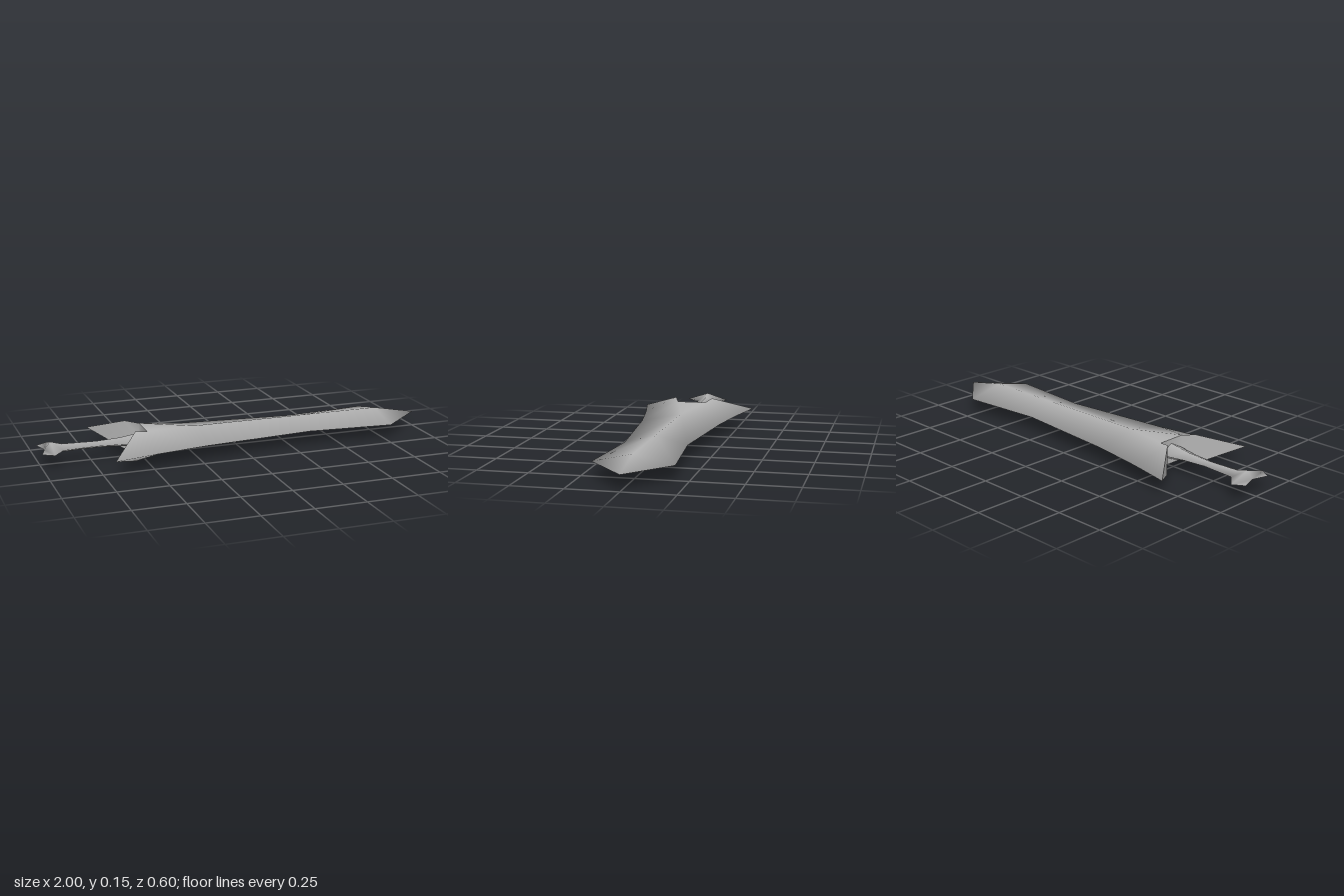
import * as THREE from 'three';
import { mergeVertices } from 'three/addons/utils/BufferGeometryUtils.js';

const MID_Y = 0.075;

// Triangles between a centre ridge and a side edge, station by station
function strip(centre, edge) {
  const tris = [];
  for (let i = 0; i + 1 < centre.length; i++) {
    tris.push([centre[i], edge[i], centre[i + 1]], [edge[i], edge[i + 1], centre[i + 1]]);
  }
  return tris;
}

// Mirrors one quarter of a surface in y and z; faces are turned towards "out"
function mirrored(tris, out) {
  const pos = [];
  const tri = new THREE.Triangle();
  const n = new THREE.Vector3();
  for (const sy of [1, -1]) {
    for (const sz of [1, -1]) {
      const dir = new THREE.Vector3(out[0], out[1] * sy, out[2] * sz);
      for (const t of tris) {
        const p = t.map(([x, y, z]) => new THREE.Vector3(x, y * sy, z * sz));
        tri.set(...p).getNormal(n);
        if (n.lengthSq() < 0.5) continue;
        if (n.dot(dir) < 0) p.reverse();
        p.forEach((v) => pos.push(v.x, v.y, v.z));
      }
    }
  }
  let geo = new THREE.BufferGeometry();
  geo.setAttribute('position', new THREE.Float32BufferAttribute(pos, 3));
  geo = mergeVertices(geo, 1e-4);
  geo.computeVertexNormals();
  return geo;
}

export function createModel() {
  const group = new THREE.Group();
  const steel = new THREE.MeshStandardMaterial({ color: 0xb4b4b4 });
  steel.name = 'steel grey';
  const add = (name, geo) => {
    const mesh = new THREE.Mesh(geo, steel);
    mesh.name = name;
    mesh.position.y = MID_Y;
    group.add(mesh);
  };

  // Blade: diamond section, stations [x, half thickness, half width]
  const stations = [[1, 0, 0], [0.775, 0.043, 0.192], [0.34, 0.043, 0.155], [-0.22, 0.043, 0.21]];
  const blade = strip(
    stations.map(([x, h]) => [x, h, 0]),
    stations.map(([x, , w]) => [x, 0, w]),
  );

  // Swept-back guard wings growing out of the blade
  const ridge = [-0.22, 0.043, 0];
  const side = [-0.22, 0, 0.21];
  const root = [-0.485, 0.062, 0];
  const inner = [-0.485, 0.062, 0.075];
  const peak = [-0.55, 0.075, 0.1];
  const flank = [-0.485, 0, 0.255];
  const tip = [-0.7, 0, 0.302];
  blade.push(
    [ridge, root, inner], [ridge, inner, side], [inner, flank, side],
    [inner, peak, flank], [peak, tip, flank],
  );
  add('bladeAndGuard', mirrored(blade, [0, 1, 0]));

  // Rear faces of the guard
  const flat = (p) => [p[0], 0, p[2]];
  const rear = [root, inner, peak, tip];
  add('guardRear', mirrored(strip(rear, rear.map(flat)), [-1, 0, 0]));

  // Handle with flared pommel: stations [ridge x, half thickness, edge x, half width]
  const grip = [
    [-0.485, 0.04, -0.485, 0.075], [-0.6, 0.022, -0.6, 0.048], [-0.72, 0.016, -0.72, 0.034],
    [-0.89, 0.02, -0.89, 0.046], [-0.945, 0.036, -0.945, 0.115], [-0.975, 0, -1, 0.08],
  ];
  add('handleAndPommel', mirrored(strip(
    grip.map(([x, h]) => [x, h, 0]),
    grip.map(([, , x, w]) => [x, 0, w]),
  ), [0, 1, 0]));

  return group;
}
